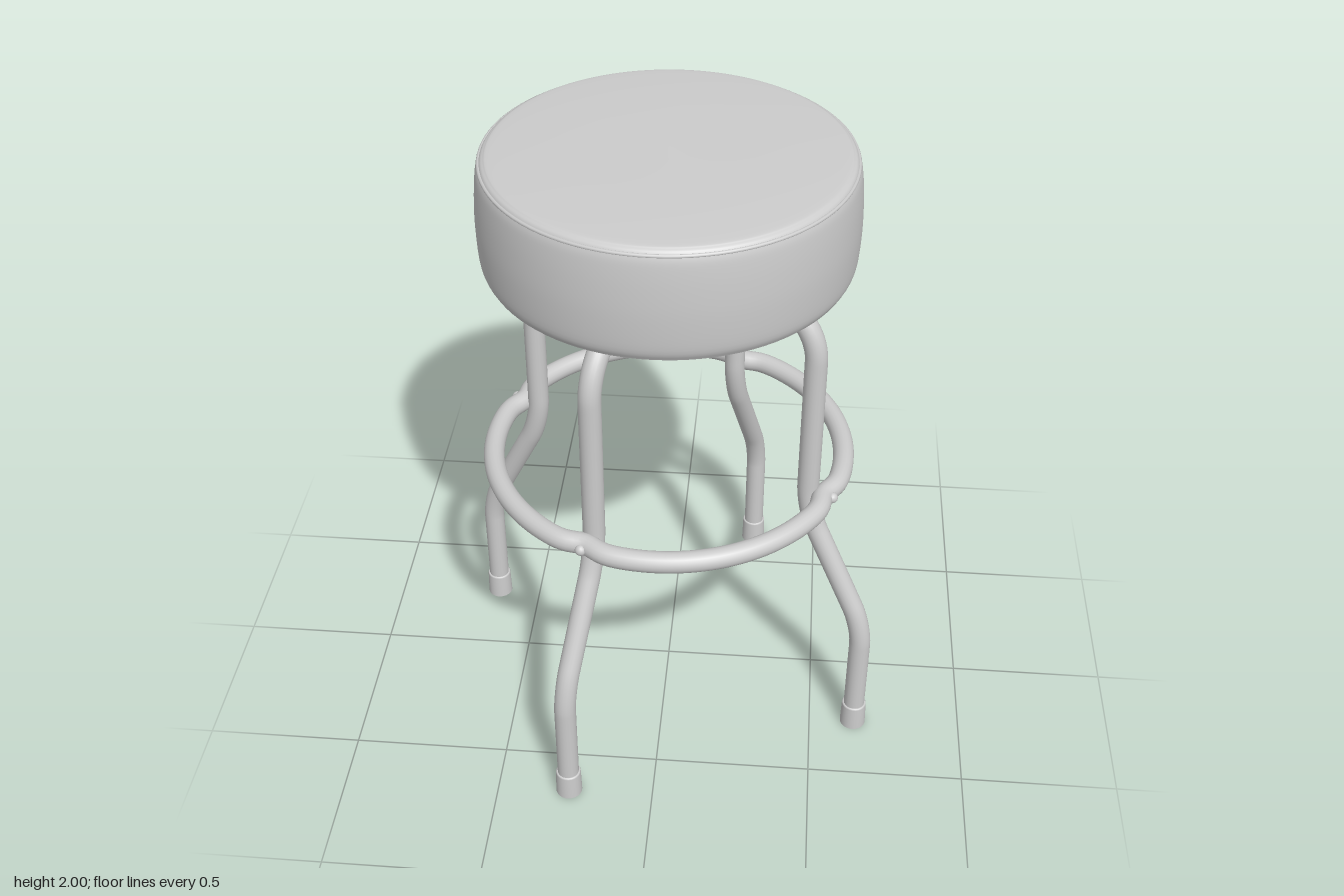
import * as THREE from 'three';

const material = new THREE.MeshStandardMaterial({ color: 0xcccccc });
const TILT = Math.atan2(0.27, 0.645); // turn of the leg frames about y
const RING_R = 0.557, RING_Y = 0.93, TUBE = 0.034;

function part(name, geometry) {
  const mesh = new THREE.Mesh(geometry, material);
  mesh.name = name;
  return mesh;
}

// Polyline with each inner corner rounded; corners are [x, y, cut length]
function roundedPath(corners) {
  const path = new THREE.CurvePath();
  const pts = corners.map(([x, y]) => new THREE.Vector3(x, y, 0));
  let from = pts[0];
  for (let i = 1; i < pts.length - 1; i++) {
    const cut = corners[i][2];
    const a = pts[i].clone().add(pts[i - 1].clone().sub(pts[i]).setLength(cut));
    const b = pts[i].clone().add(pts[i + 1].clone().sub(pts[i]).setLength(cut));
    // cubic handles give a near circular bend
    const h1 = a.clone().lerp(pts[i], 0.56), h2 = b.clone().lerp(pts[i], 0.56);
    path.add(new THREE.LineCurve3(from, a));
    path.add(new THREE.CubicBezierCurve3(a, h1, h2, b));
    from = b;
  }
  path.add(new THREE.LineCurve3(from, pts[pts.length - 1]));
  return path;
}

// Foot ring, pressed in slightly where it meets each leg
class FootRingCurve extends THREE.Curve {
  getPoint(t, target = new THREE.Vector3()) {
    const a = t * Math.PI * 2, q = Math.PI / 2;
    const d = a - TILT - Math.round((a - TILT) / q) * q;
    const r = RING_R - 0.02 * Math.exp(-((d / 0.09) ** 2));
    return target.set(Math.cos(a) * r, RING_Y, Math.sin(a) * r);
  }
}

export function createModel() {
  const stool = new THREE.Group();
  stool.name = 'barStool';

  // Padded seat: domed cushion, seam groove, bulging side and flat underside
  const rim = new THREE.SplineCurve([
    [0.54, 1.645], [0.553, 1.68], [0.558, 1.78], [0.555, 1.87], [0.548, 1.94], [0.541, 1.967],
  ].map(([x, y]) => new THREE.Vector2(x, y))).getPoints(24);
  const dome = new THREE.SplineCurve([
    [0.536, 1.97], [0.525, 1.981], [0.49, 1.988], [0.3, 1.996], [0, 2],
  ].map(([x, y]) => new THREE.Vector2(x, y))).getPoints(24);
  dome[dome.length - 1].x = 0;
  stool.add(part('seatSide', new THREE.LatheGeometry(rim, 96)));
  stool.add(part('seatTop', new THREE.LatheGeometry(dome, 96)));
  const piping = part('seatPiping', new THREE.TorusGeometry(0.537, 0.006, 8, 96));
  piping.rotation.x = Math.PI / 2;
  piping.position.y = 1.967;
  stool.add(piping);
  const base = part('seatBase', new THREE.CylinderGeometry(0.54, 0.535, 0.01, 96));
  base.position.y = 1.645;
  stool.add(base);

  // Two crossing bent tubes, each making a pair of legs
  const half = [[0.7, 0.03, 0], [0.7, 0.44, 0.08], [0.485, 0.86, 0.09], [0.485, 1.606, 0.19]];
  const corners = [...half, ...half.map(([x, y, c]) => [-x, y, c]).reverse()];
  const legGeometry = new THREE.TubeGeometry(roundedPath(corners), 220, TUBE, 20);

  // Rubber foot cap, standing on the ground
  const capGeometry = new THREE.LatheGeometry([
    [0, 0], [0.042, 0], [0.042, 0], [0.04, 0.085], [0.038, 0.09], [0.033, 0.09],
  ].map(([x, y]) => new THREE.Vector2(x, y)), 24);
  // Domed bolt head
  const boltGeometry = new THREE.SphereGeometry(0.018, 16, 8, 0, Math.PI * 2, 0, Math.PI / 2);

  for (let i = 0; i < 2; i++) {
    const frame = new THREE.Group();
    frame.name = 'legFrame' + (i + 1);
    frame.rotation.y = -TILT - i * Math.PI / 2;
    frame.add(part('legPair', legGeometry));
    for (const side of [1, -1]) {
      const cap = part('footCap', capGeometry);
      cap.position.x = side * 0.7;
      const bolt = part('ringBolt', boltGeometry);
      bolt.position.set(side * 0.566, RING_Y, 0);
      bolt.rotation.z = -side * Math.PI / 2;
      frame.add(cap, bolt);
    }
    stool.add(frame);
  }

  stool.add(part('footRing', new THREE.TubeGeometry(new FootRingCurve(), 192, 0.033, 18, true)));
  return stool;
}
